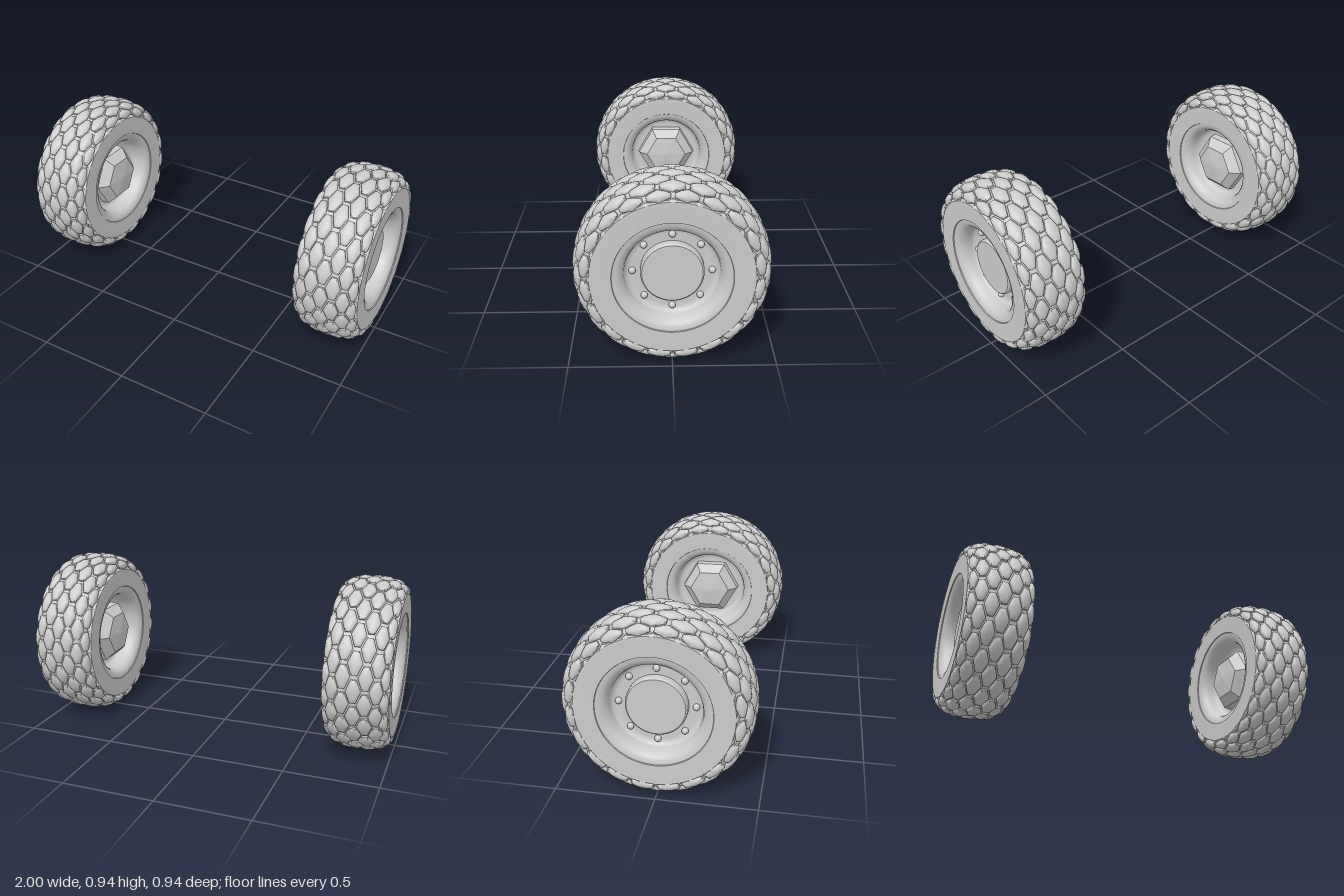
import * as THREE from 'three';
import { toCreasedNormals } from 'three/addons/utils/BufferGeometryUtils.js';

const mat = new THREE.MeshStandardMaterial({ color: 0xcccccc });
const flatMat = new THREE.MeshStandardMaterial({ color: 0xcccccc, flatShading: true });
const V2 = (x, y) => new THREE.Vector2(x, y);

// Wheel is built around the y axis (+y is its outer face), then laid on its side.
const RADIUS = 0.47, CENTRE_X = 0.83, AROUND = 20;

// Half of the tread section as [radius, axial], mirrored into a full curve
const half = [[0.468, 0.04], [0.464, 0.08], [0.451, 0.122], [0.43, 0.153], [0.41, 0.167], [0.383, 0.17]];
const tread = new THREE.SplineCurve([
  ...half.map(([r, y]) => V2(r, -y)).reverse(), V2(RADIUS, 0), ...half.map(([r, y]) => V2(r, y)),
]);
const LENGTH = tread.getLength();

// Point on the tread section at arc distance s from the middle, raised by h
function section(s, h) {
  const u = THREE.MathUtils.clamp(0.5 + s / LENGTH, 0, 1);
  const p = tread.getPointAt(u), t = tread.getTangentAt(u);
  return V2(p.x + t.y * h, p.y - t.x * h);
}

// Lathe from [radius, axial] pairs listed outside to centre; side -1 mirrors it to the inner face
function lathe(name, profile, side = 1, segments = 80, material = mat) {
  const pts = profile.map(([r, y]) => V2(r, y * side));
  if (side < 0) pts.reverse();
  const mesh = new THREE.Mesh(new THREE.LatheGeometry(pts, segments), material);
  mesh.name = name;
  return mesh;
}

// Domed raised block on a polygon of [s, angle] corners
function addBlock(pos, corners, s0, a0) {
  const n = corners.length;
  const outline = corners.flatMap(([s, a], i) => {
    const [s2, a2] = corners[(i + 1) % n];
    return [[s, a], [(s + s2) / 2, (a + a2) / 2]];
  });
  const cs = corners.reduce((t, c) => t + c[0], 0) / n;
  const ca = corners.reduce((t, c) => t + c[1], 0) / n;
  // [scale, height] of each ring, from the foot to the crown
  const rings = [[1, -0.024], [0.97, -0.01], [0.82, -0.004], [0.5, 0], [0, 0.001]].map(([k, h]) =>
    outline.map(([s, a]) => {
      const p = section(s0 + cs + (s - cs) * k, h), ang = a0 + ca + (a - ca) * k;
      return [p.x * Math.cos(ang), p.y, p.x * Math.sin(ang)];
    }));
  for (let i = 0; i < rings.length - 1; i++) {
    for (let j = 0; j < outline.length; j++) {
      const k = (j + 1) % outline.length;
      const [a, b, c, d] = [rings[i][j], rings[i][k], rings[i + 1][k], rings[i + 1][j]];
      pos.push(...a, ...b, ...c);
      if (i < rings.length - 2) pos.push(...a, ...c, ...d);
    }
  }
}

// Staggered columns of hexagonal blocks, with cut-off ones against the sidewalls
function treadBlocks() {
  const a = 0.04, b = 0.016, h = 0.138, step = 0.06, pos = [];
  const hex = [[a, 0], [b, h], [-b, h], [-a, 0], [-b, -h], [b, -h]];
  const cut = [[-a, 0], [-b, -h * 0.9], [-b, h * 0.9]];
  for (let col = -4; col <= 4; col++) {
    const sign = Math.sign(col);
    const shape = Math.abs(col) === 4 ? cut.map(([s, t]) => [s * sign, t * sign]) : hex;
    for (let i = 0; i < AROUND; i++) {
      addBlock(pos, shape, col * step, (i + (col % 2 ? 0.5 : 0)) * Math.PI * 2 / AROUND);
    }
  }
  const geo = new THREE.BufferGeometry();
  geo.setAttribute('position', new THREE.Float32BufferAttribute(pos, 3));
  const mesh = new THREE.Mesh(toCreasedNormals(geo, 0.7), mat);
  mesh.name = 'treadBlocks';
  return mesh;
}

function createWheel(name) {
  const body = new THREE.Group();

  // Tyre carcass: groove floor under the blocks
  const floor = [];
  for (let i = 0; i <= 32; i++) {
    const p = section((i / 32 - 0.5) * LENGTH, -0.018);
    floor.push([p.x, p.y]);
  }
  body.add(lathe('tyreGrooves', floor), treadBlocks());

  for (const side of [1, -1]) {
    // Shoulder step, flat sidewall and curved rim funnel
    body.add(lathe('shoulderStep', [[0.387, 0.148], [0.384, 0.17]], side));
    body.add(lathe('sidewall', [[0.384, 0.17], [0.33, 0.17], [0.282, 0.168]], side));
    body.add(lathe('rimLip', [[0.282, 0.168], [0.28, 0.163]], side));
    body.add(lathe('rim', [[0.28, 0.163], [0.262, 0.161], [0.245, 0.152], [0.232, 0.136],
      [0.225, 0.115], [0.222, 0.09]], side));
  }

  // Outer face: dished plate, hub cap and ring of bolts
  body.add(lathe('wheelPlate', [[0.222, 0.09], [0.216, 0.079], [0.205, 0.072], [0.19, 0.07], [0.14, 0.07]]));
  body.add(lathe('hubCapEdge', [[0.15, 0.068], [0.15, 0.098], [0.148, 0.106], [0.142, 0.11]]));
  body.add(lathe('hubCap', [[0.142, 0.11], [0, 0.11]]));
  for (let i = 0; i < 8; i++) {
    const ang = i * Math.PI / 4;
    const bolt = new THREE.Mesh(new THREE.SphereGeometry(0.017, 16, 12), mat);
    bolt.position.set(0.187 * Math.cos(ang), 0.076, 0.187 * Math.sin(ang));
    bolt.name = 'bolt';
    body.add(bolt);
  }

  // Inner face: deeper back plate with a six-sided axle hub
  body.add(lathe('backPlate', [[0.222, 0.09], [0.217, 0.066], [0.205, 0.053], [0.185, 0.05], [0, 0.05]], -1));
  body.add(lathe('axleHub', [[0.182, 0.04], [0.178, 0.095], [0.125, 0.145], [0, 0.158]], -1, 6, flatMat));

  body.rotation.z = -Math.PI / 2;
  const wheel = new THREE.Group();
  wheel.name = name;
  wheel.add(body);
  return wheel;
}

export function createModel() {
  const model = new THREE.Group();
  model.name = 'wheelPair';
  for (const side of [1, -1]) {
    const wheel = createWheel(side > 0 ? 'leftWheel' : 'rightWheel');
    wheel.position.set(side * CENTRE_X, RADIUS + 0.001, 0);
    if (side < 0) wheel.rotation.y = Math.PI;
    model.add(wheel);
  }
  return model;
}
